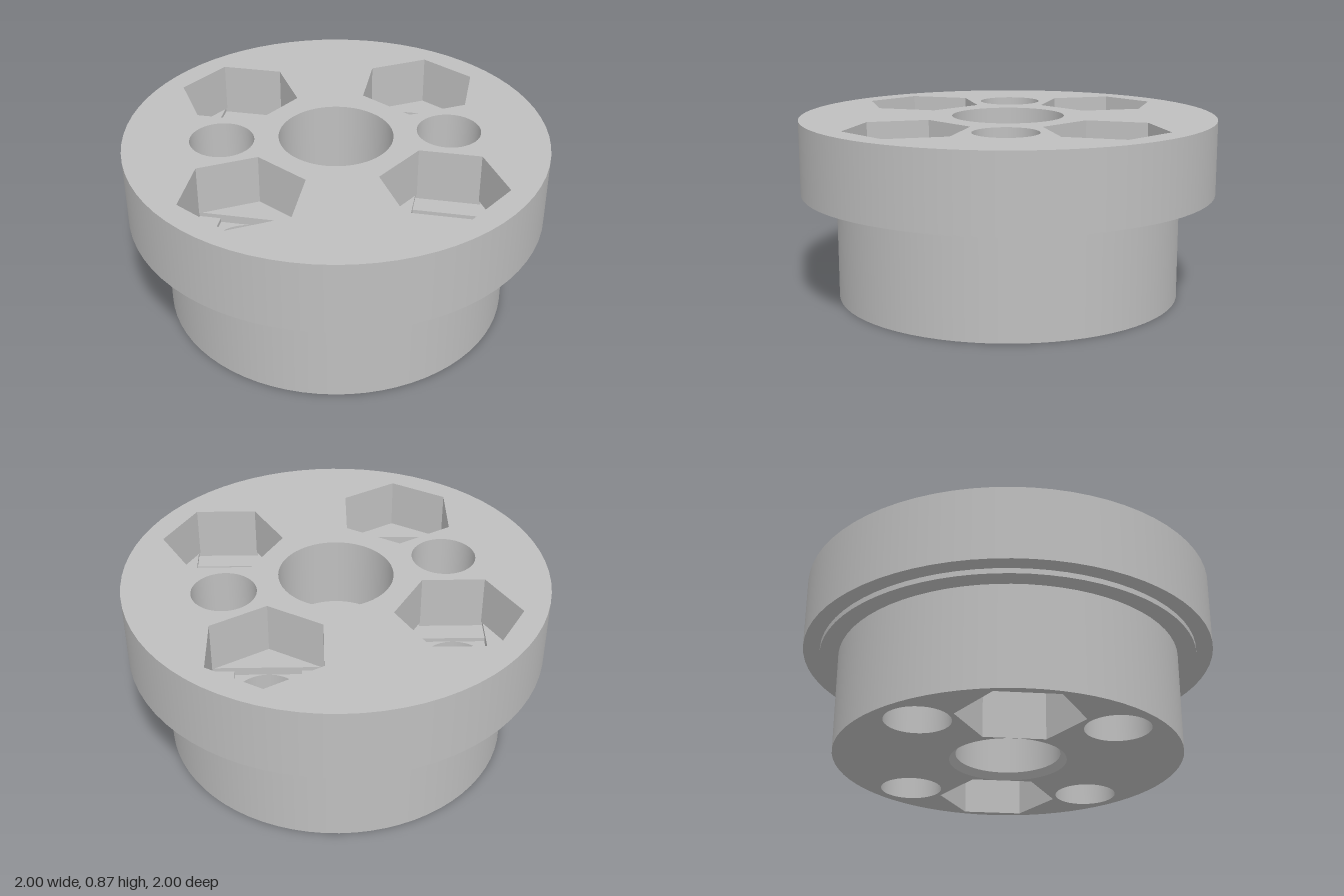
import * as THREE from 'three';

const H = 0.87;        // total height
const HOLE = 0.152;    // bolt hole radius
const HEX = 0.292;     // nut pocket corner radius
const FLAT = HEX * Math.cos(Math.PI / 6);
const STEP = 0.02;     // height of the bridging steps above each pocket

export function createModel() {
  const model = new THREE.Group();
  const grey = new THREE.MeshStandardMaterial({ color: 0xbfbfbf, side: THREE.DoubleSide });
  grey.name = 'plain grey';

  const add = (parent, name, geo) => {
    const mesh = new THREE.Mesh(geo, grey);
    mesh.name = name;
    parent.add(mesh);
    return mesh;
  };

  // open wall between two heights, round or with flat sides
  const wall = (parent, name, rTop, rBottom, y0, y1, n = 72) => {
    let g = new THREE.CylinderGeometry(rTop, rBottom, y1 - y0, n, 1, true);
    if (n === 4) g.rotateY(Math.PI / 4);
    if (n < 12) {
      g = g.toNonIndexed();
      g.computeVertexNormals();
    }
    g.translate(0, (y0 + y1) / 2, 0);
    return add(parent, name, g);
  };

  // regular polygon as [x, z] points
  const poly = (cx, cz, r, n, turn = 0) => Array.from({ length: n }, (_, i) => {
    const a = turn + (i / n) * Math.PI * 2;
    return [cx + r * Math.cos(a), cz + r * Math.sin(a)];
  });

  // flat horizontal face with holes, facing up or down
  const plate = (parent, name, y, up, outline, holes = []) => {
    const pts = (loop) => loop.map(([x, z]) => new THREE.Vector2(x, up ? -z : z));
    const shape = new THREE.Shape(pts(outline));
    holes.forEach((h) => shape.holes.push(new THREE.Path(pts(h))));
    const g = new THREE.ShapeGeometry(shape);
    g.rotateX(up ? -Math.PI / 2 : Math.PI / 2);
    g.translate(0, y, 0);
    return add(parent, name, g);
  };
  const disc = (r, n = 72) => poly(0, 0, r, n);

  // nut pocket opening at local y = 0, stepping down to a bolt hole
  const nutPocket = (name, depth) => {
    const g = new THREE.Group();
    g.name = name;
    const y1 = -depth, y2 = y1 - STEP, y3 = y2 - STEP;
    const s = HOLE + 0.001;
    const reach = (HEX - s) * Math.sqrt(3);
    wall(g, 'hexWall', HEX, HEX, y1, 0, 6);
    const slot = wall(g, 'slotWall', Math.SQRT2, Math.SQRT2, y2, y1, 4);
    slot.scale.set(FLAT, 1, s);
    const square = wall(g, 'squareWall', Math.SQRT2, Math.SQRT2, y3, y2, 4);
    square.scale.set(s, 1, s);
    for (const k of [-1, 1]) {
      plate(g, 'hexLedge', y1, true, [[-reach, k * s], [reach, k * s], [0, k * HEX]]);
      plate(g, 'slotLedge', y2, true, [[k * s, -s], [k * FLAT, -s], [k * FLAT, s], [k * s, s]]);
    }
    plate(g, 'squareLedge', y3, true, [[-s, -s], [s, -s], [s, s], [-s, s]], [disc(HOLE, 48)]);
    wall(g, 'boltHole', HOLE, HOLE, -H, y3, 48);
    model.add(g);
    return g;
  };

  const topHoles = [], bottomHoles = [];

  // four pockets sunk from the top
  for (let i = 0; i < 4; i++) {
    const a = (i * Math.PI) / 2;
    const x = 0.63 * Math.cos(a), z = 0.63 * Math.sin(a);
    const p = nutPocket('topNutPocket', 0.245);
    p.position.set(x, H, z);
    p.rotation.y = -(a + Math.PI / 3);
    topHoles.push(poly(x, z, HEX, 6, a + Math.PI / 6));
    bottomHoles.push(poly(x, z, HOLE, 48));
  }

  // two pockets sunk from the bottom, on the diagonal
  for (const a of [-Math.PI / 4, (3 * Math.PI) / 4]) {
    const x = 0.535 * Math.cos(a), z = 0.535 * Math.sin(a);
    const p = nutPocket('bottomNutPocket', 0.36);
    p.position.set(x, 0, z);
    p.rotation.set(Math.PI, a + Math.PI / 3, 0);
    topHoles.push(poly(x, z, HOLE, 48));
    bottomHoles.push(poly(x, z, HEX, 6, a + Math.PI / 6));
  }

  // outer body: flange, thin lip and hub
  wall(model, 'flangeSide', 1, 1, 0.515, H);
  wall(model, 'lipSide', 0.92, 0.92, 0.49, 0.515);
  wall(model, 'hubSide', 0.83, 0.83, 0, 0.49);
  plate(model, 'flangeUnderside', 0.515, false, disc(1), [disc(0.92)]);
  plate(model, 'lipUnderside', 0.49, false, disc(0.92), [disc(0.83)]);
  plate(model, 'topFace', H, true, disc(1), [...topHoles, disc(0.27, 48)]);
  plate(model, 'bottomFace', 0, false, disc(0.83), [...bottomHoles, disc(0.28, 48)]);

  // centre bore: wide from both ends, narrow through the web
  wall(model, 'upperBore', 0.27, 0.27, 0.52, H, 48);
  plate(model, 'upperBoreFloor', 0.52, true, disc(0.27, 48), [disc(0.145, 48)]);
  wall(model, 'axleHole', 0.145, 0.145, 0.37, 0.52, 48);
  plate(model, 'lowerBoreCeiling', 0.37, false, disc(0.25, 48), [disc(0.145, 48)]);
  wall(model, 'lowerBore', 0.25, 0.25, 0.03, 0.37, 48);
  wall(model, 'lowerBoreChamfer', 0.25, 0.28, 0, 0.03, 48);

  return model;
}
